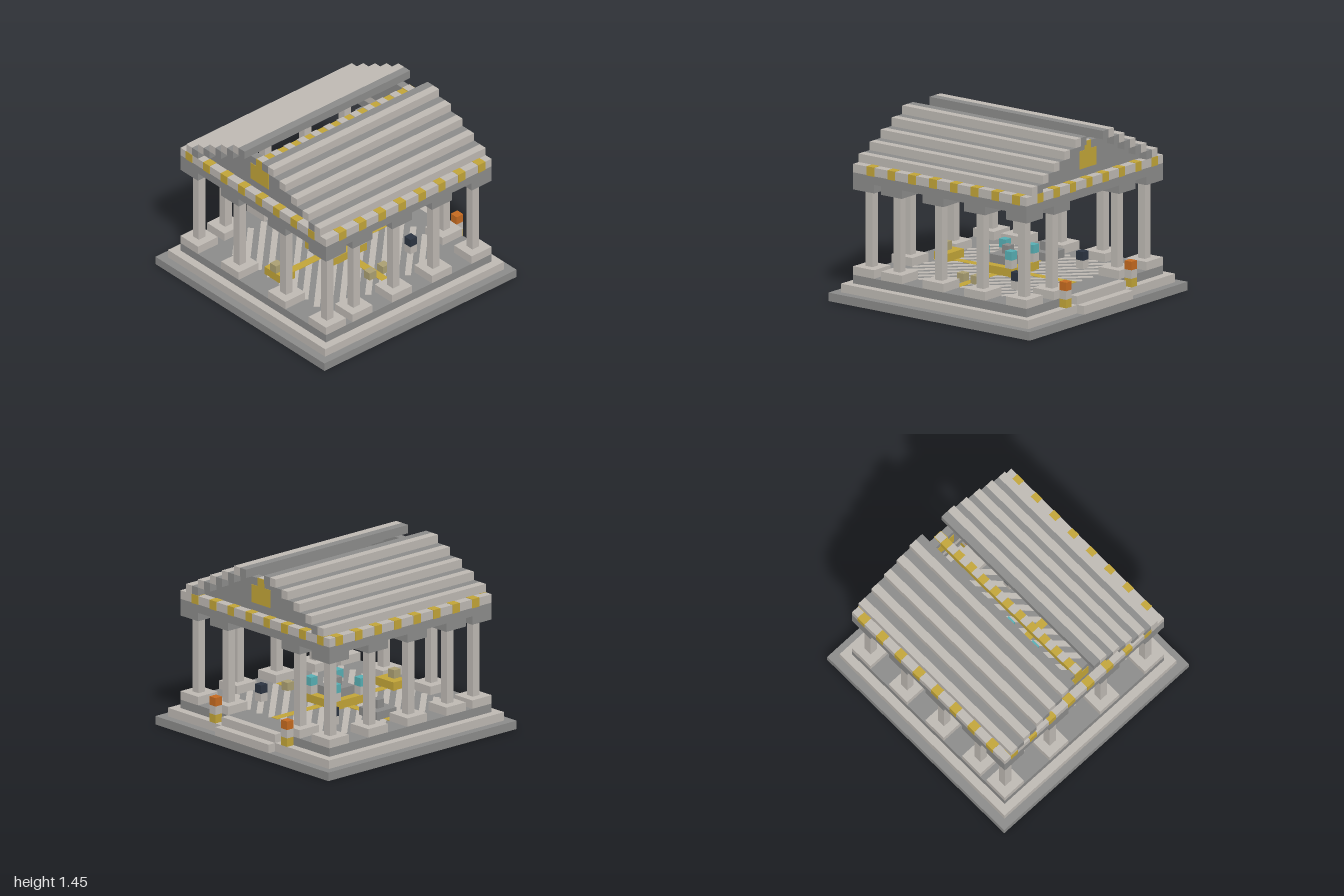
import * as THREE from 'three';

const U = 2 / 29; // one block

const mat = (name, color) => {
  const m = new THREE.MeshStandardMaterial({ color });
  m.name = name;
  return m;
};

export function createModel() {
  const dark = mat('darkStone', 0x8b8b8a);
  const light = mat('lightStone', 0xbdb8b2);
  const gold = mat('gold', 0xc1a438);
  const khaki = mat('khaki', 0xaa9f72);
  const teal = mat('teal', 0x57aeb3);
  const navy = mat('navy', 0x2b3441);
  const orange = mat('orange', 0xc46a20);

  const model = new THREE.Group();
  model.name = 'temple';

  // box covering whole blocks, inclusive ranges; grow swells it slightly
  const block = (name, material, [x0, x1], [y0, y1], [z0, z1], grow = 0) => {
    const g = new THREE.BoxGeometry(
      (x1 - x0 + 1) * U + grow, (y1 - y0 + 1) * U + grow, (z1 - z0 + 1) * U + grow);
    const m = new THREE.Mesh(g, material);
    m.name = name;
    m.position.set((x0 + x1) / 2 * U, (y0 + y1 + 1) / 2 * U, (z0 + z1) / 2 * U);
    model.add(m);
    return m;
  };
  const cube = (name, material, x, y, z, grow = 0) =>
    block(name, material, [x, x], [y, y], [z, z], grow);
  // thin inlay lying on a horizontal surface
  const inlay = (name, material, w, d, x, y, z, h = 0.006) => {
    const m = new THREE.Mesh(new THREE.BoxGeometry(w, h, d), material);
    m.name = name;
    m.position.set(x, y, z);
    model.add(m);
    return m;
  };
  // square frame between two block distances
  const frame = (name, material, y, outer, inner) => {
    for (const s of [-1, 1]) {
      const r = s > 0 ? [inner, outer] : [-outer, -inner];
      block(name, material, [-outer, outer], [y, y], r);
      block(name, material, r, [y, y], [-inner + 1, inner - 1]);
    }
  };

  // stepped base and rear stairs
  block('baseLower', dark, [-14, 14], [0, 0], [-14, 14]);
  block('baseMiddle', light, [-13, 13], [1, 1], [-13, 13]);
  block('baseUpper', dark, [-12, 12], [2, 2], [-12, 12]);
  block('stairLower', light, [-4, 4], [1, 1], [-14, -14]);
  block('stairUpper', light, [-4, 4], [2, 2], [-13, -13]);

  // diagonal floor stripes
  const half = 9.5, floorY = 3 * U;
  for (let k = -16; k <= 16; k += 2) {
    const len = (2 * half - Math.abs(k)) * Math.SQRT2 * U;
    const s = inlay('floorStripe', light, U / Math.SQRT2, len, k / 2 * U, floorY, -k / 2 * U);
    s.rotation.y = Math.PI / 4;
  }
  // gold floor cross
  inlay('floorCross', gold, 19 * U, U, 0, floorY, 0, 0.009);
  inlay('floorCross', gold, U, 19 * U, 0, floorY, 0, 0.009);

  // columns
  const spots = [];
  for (const s of [-1, 1]) {
    for (const z of [11, 7, 1, -5, -11]) spots.push([11 * s, z]);
    spots.push([4 * s, 11], [6 * s, -11]);
  }
  for (const [x, z] of spots) {
    block('columnBase', light, [x - 1, x + 1], [3, 3], [z - 1, z + 1]);
    block('columnShaft', light, [x, x], [4, 12], [z, z]);
    block('columnCapital', dark, [x - 1, x + 1], [13, 13], [z - 1, z + 1]);
  }

  // entablature with gold studs
  frame('beam', dark, 14, 12, 11);
  frame('frieze', light, 15, 12, 11);
  for (let i = -11; i <= 10; i += 3) {
    for (const s of [-12, 12]) {
      cube('friezeStud', gold, i, 15, s, 0.006);
      cube('friezeStud', gold, s, 15, i, 0.006);
    }
  }
  for (const x of [-10, 10]) block('innerGoldTrim', gold, [x, x], [15, 15], [-10, 10]);

  // stepped roof slopes, one light and one dark strip per step
  for (let i = 0; i < 5; i++) {
    for (const s of [-1, 1]) {
      const a = s * (11 - 2 * i), b = s * (10 - 2 * i), y = 16 + i;
      block('roofStepLight', light, [a, a], [y, y], [-12, 12]);
      block('roofStepDark', dark, [b, b], [y, y], [-12, 12]);
    }
  }

  // pediments with emblem
  for (const z of [-11, 11]) {
    for (let i = 0; i < 4; i++) {
      const w = 9 - 2 * i;
      block('pediment', dark, [-w, w], [16 + i, 16 + i], [z, z]);
    }
    block('emblem', gold, [-1, 1], [17, 18], [z, z], 0.008);
    cube('emblemTip', gold, 0, 19, z, 0.008);
  }

  // ridge beam in the open slot, with light tiles
  block('ridgeBeam', gold, [0, 0], [19, 19], [-10, 10]);
  for (let z = -11; z <= 11; z += 2) inlay('ridgeTile', light, U, U, 0, 20 * U + 0.003, z * U);

  // central altar with four lanterns
  block('altarBase', gold, [-2, 2], [3, 3], [-2, 2]);
  block('altarBlock', dark, [-1, 1], [4, 4], [-1, 1]);
  cube('altarTop', dark, 0, 5, 0);
  for (const x of [-2, 2]) for (const z of [-2, 2]) {
    cube('lanternPost', light, x, 4, z);
    cube('lantern', teal, x, 5, z);
  }

  // front bench, side pedestal and stools
  block('goldBench', gold, [-1, 1], [3, 3], [8, 9]);
  cube('benchOrnament', khaki, 0, 4, 9);
  block('pedestal', dark, [-8, -6], [3, 3], [-1, 1]);
  cube('pedestalTop', dark, -7, 4, 0);
  for (const z of [-1, 1]) cube('stool', khaki, 7, 3, z);

  // mirrored navy posts and rear torches
  for (const x of [-6, 6]) {
    cube('postFoot', light, x, 3, -6);
    cube('postHead', navy, x, 4, -6);
    cube('torchFoot', gold, x, 2, -13);
    cube('torchShaft', light, x, 3, -13);
    cube('torchFlame', orange, x, 4, -13);
  }

  return model;
}
